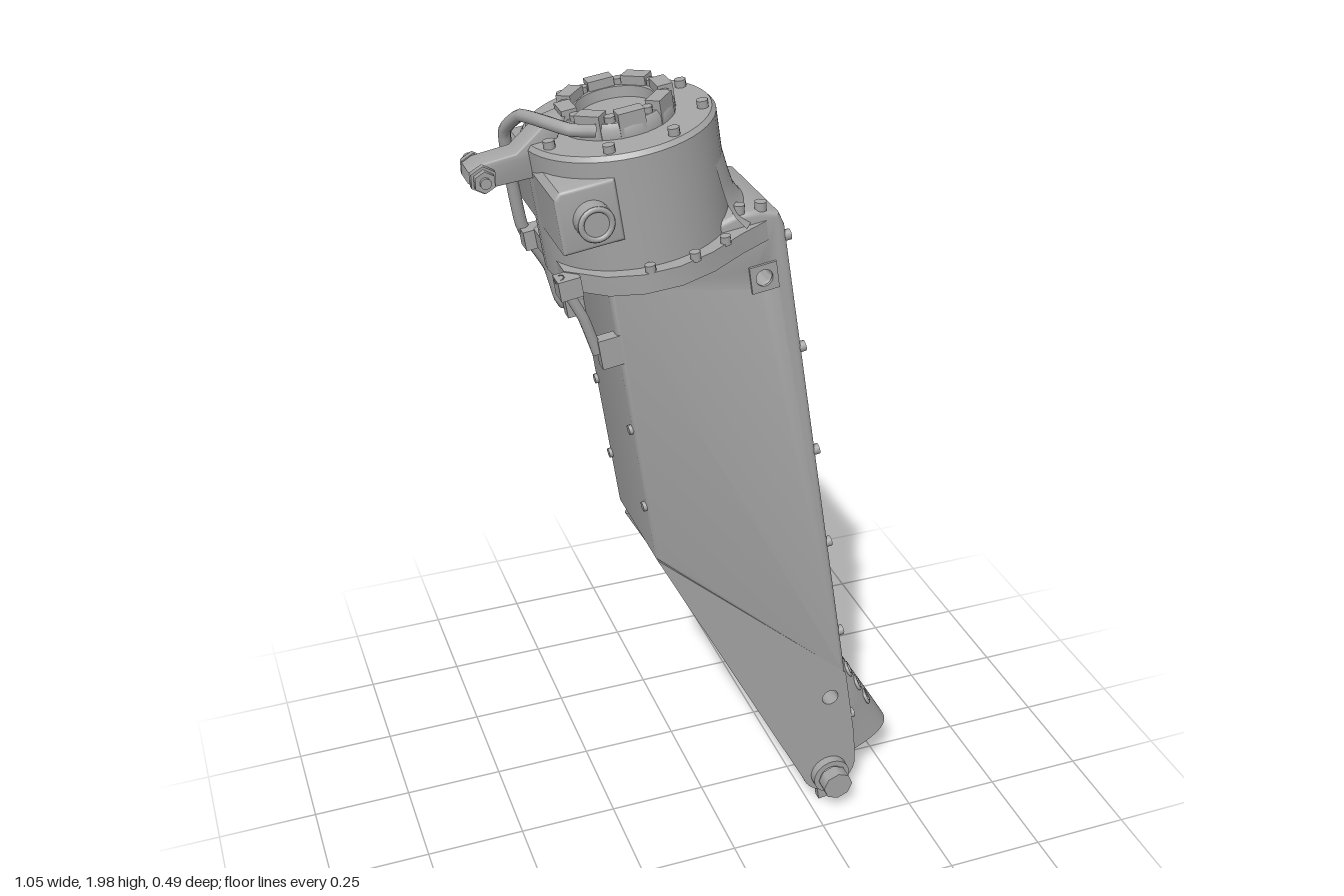
import * as THREE from 'three';
import { toCreasedNormals } from 'three/addons/utils/BufferGeometryUtils.js';
import { ParametricGeometry } from 'three/addons/geometries/ParametricGeometry.js';

const metal = new THREE.MeshStandardMaterial({ color: 0xa6a6a6, side: THREE.DoubleSide });
metal.name = 'greyMetal';

const V = (x, y, z) => new THREE.Vector3(x, y, z);

function add(parent, name, geometry, x = 0, y = 0, z = 0) {
  const mesh = new THREE.Mesh(geometry, metal);
  mesh.name = name;
  mesh.position.set(x, y, z);
  parent.add(mesh);
  return mesh;
}

// Cylinder pointing along a given direction
function rod(parent, name, r, length, pos, dir = V(0, 1, 0), sides = 24) {
  const mesh = add(parent, name, new THREE.CylinderGeometry(r, r, length, sides), pos.x, pos.y, pos.z);
  mesh.quaternion.setFromUnitVectors(V(0, 1, 0), dir.clone().normalize());
  return mesh;
}

function outline(points, holes = []) {
  const shape = new THREE.Shape(points.map(p => new THREE.Vector2(...p)));
  for (const [x, y, r] of holes) {
    shape.holes.push(new THREE.Path().absarc(x, y, r, 0, Math.PI * 2, true));
  }
  return shape;
}

function slab(shape, z0, z1, bevel = 0) {
  const g = new THREE.ExtrudeGeometry(shape, {
    depth: z1 - z0 - 2 * bevel, curveSegments: 12, bevelEnabled: bevel > 0,
    bevelSize: bevel, bevelThickness: bevel, bevelOffset: -bevel, bevelSegments: 3,
  });
  g.translate(0, 0, z0 + bevel);
  return toCreasedNormals(g, 0.6);
}

function pipe(parent, name, points, r) {
  const path = new THREE.CatmullRomCurve3(points.map(p => V(...p)), false, 'catmullrom', 0.25);
  return add(parent, name, new THREE.TubeGeometry(path, 70, r, 10));
}

function lathe(points, start = 0, sweep = Math.PI * 2) {
  return toCreasedNormals(new THREE.LatheGeometry(points.map(p => new THREE.Vector2(...p)), 48, start, sweep), 0.6);
}

export function createModel() {
  const model = new THREE.Group();
  const Z = V(0, 0, 1);
  const bend = [-0.165, 0.875];
  const pinX = 0.305, pinY = 0.09;
  const frontX = y => 0.385 - (y - 0.13) * 0.158;
  const upperHole = [0.09, 1.565, 0.02], lowerHole = [0.3, 0.34, 0.022];

  // Main box of the leg
  add(model, 'legBody', slab(outline([
    bend, [0.34, 0.4], [frontX(0.44), 0.44], [0.139, 1.68], [0.125, 1.71], [0.08, 1.722],
    [0.03, 1.72], [-0.2, 1.64], [-0.265, 1.595],
  ], [upperHole]), -0.15, 0.15, 0.012));

  // Lower core, its back side cut away at a slant
  const core = new THREE.ExtrudeGeometry(outline([bend, [0.225, 0.16], [0.375, 0.16], [0.34, 0.4]], [lowerHole]),
    { depth: 0.28, bevelEnabled: false });
  core.translate(0, 0, -0.14);
  const p = core.attributes.position;
  for (let i = 0; i < p.count; i++) {
    if (p.getZ(i) > 0) continue;
    const below = 0.875 - 0.94 * (p.getX(i) + 0.165) - p.getY(i);
    p.setZ(i, -0.14 + 0.4 * Math.max(0, below));
  }
  core.computeVertexNormals();
  add(model, 'lowerCore', core);

  // Side plates ending in round lugs
  const lug = [];
  for (let i = 0; i <= 12; i++) {
    const a = Math.PI * (1.1 + i * 0.95 / 12);
    lug.push([pinX + 0.076 * Math.cos(a), 0.11 + 0.08 * Math.sin(a)]);
  }
  const fork = [...lug, [frontX(0.2), 0.2], [frontX(0.41), 0.41]];
  add(model, 'sidePlate', slab(outline([bend, ...fork], [lowerHole]), 0.128, 0.15));
  add(model, 'sideStrap', slab(outline([[0.08, 0.62], ...fork], [lowerHole]), -0.15, -0.128));
  pipe(model, 'innerStrut', [[-0.15, 0.85, -0.12], [0.05, 0.48, -0.1], [0.235, 0.13, -0.12]], 0.01);

  // Pivot pin with collars and end caps
  rod(model, 'pivotPin', 0.034, 0.36, V(pinX, pinY, 0), Z);
  for (const s of [1, -1]) {
    rod(model, 'pinCollar', 0.05, 0.025, V(pinX, pinY, s * 0.16), Z);
    rod(model, 'pinCap', 0.04, 0.035, V(pinX, pinY, s * 0.197), Z, 8);
    add(model, 'lugTab', new THREE.BoxGeometry(0.055, 0.035, 0.022), pinX, 0.0215, s * 0.139).rotation.z = 0.139;
  }

  // Curved scoop at the foot
  const scoopPoint = (t, v) => {
    const y = 0.43 - 0.3 * t;
    const bulge = 0.002 + (0.182 - 0.047) * Math.pow(t, 0.9);
    const w = 0.117 * Math.sqrt(Math.max(0.002, 1 - Math.pow(1 - Math.min(1, t * 1.7), 2)));
    const drop = 0.02 * t * Math.abs(v) ** 3;
    return V(frontX(y) + bulge * (1 - Math.abs(v) ** 3.2), y - drop, w * v);
  };
  add(model, 'scoop', new ParametricGeometry((u, t, out) => out.copy(scoopPoint(t, u * 2 - 1)), 32, 20));
  for (const s of [1, -1]) {
    for (const t of [0.3, 0.46, 0.63]) {
      const rim = add(model, 'scoopHoleRim', new THREE.TorusGeometry(0.017, 0.005, 6, 16));
      rim.position.copy(scoopPoint(t, s * 0.53));
      rim.rotation.set(0, Math.PI / 2, 0);
      rim.lookAt(rim.position.clone().add(V(0.9, 0.45, s * 0.25)));
    }
  }

  // Small bolts along the leg edges
  for (const s of [1, -1]) {
    for (const y of [1.65, 1.37, 1.09, 0.82, 0.54, 0.26]) {
      rod(model, 'frontBolt', 0.013, 0.016, V(frontX(y) + 0.003, y, s * 0.135), V(1, 0.15, 0), 8);
    }
    for (const y of [1.45, 1.23, 1.02]) {
      rod(model, 'backBolt', 0.012, 0.016, V(-0.165 - (y - 0.875) * 0.139, y, s * 0.13), V(1, 0.14, 0), 8);
    }
    for (const x of [0.035, 0.085]) rod(model, 'shoulderBolt', 0.014, 0.02, V(x, 1.727, s * 0.135), V(0, 1, 0), 8);
  }
  for (const y of [1.47, 1.41, 1.35]) rod(model, 'sideBolt', 0.01, 0.014, V(0.12, y - 0.03, -0.153), Z, 8);

  // Square fitting around the upper hole
  const fitting = outline([[-0.032, -0.032], [0.032, -0.032], [0.032, 0.032], [-0.032, 0.032]], [[0, 0, 0.02]]);
  for (const s of [1, -1]) {
    add(model, 'holeFitting', slab(fitting, -0.004, 0.004), 0.09, 1.565, s * 0.152).rotation.z = 0.139;
  }

  // Tilted housing on top
  const head = new THREE.Group();
  head.name = 'head';
  head.position.set(-0.19, 1.915, 0);
  head.rotation.z = 0.139;
  model.add(head);
  add(head, 'housing', lathe([[0, -0.31], [0.2, -0.31], [0.21, -0.3], [0.21, -0.01], [0.202, 0], [0.12, 0], [0, 0]]));
  add(head, 'housingFillet', lathe([[0.262, -0.25], [0.24, -0.225], [0.225, -0.195], [0.218, -0.16], [0.209, -0.1]],
    Math.PI * 0.27, Math.PI * 0.46));

  // Flange between the housing and the leg
  const half = [[-0.2, 0.12], [-0.13, 0.2], [-0.06, 0.235], [0.02, 0.243], [0.1, 0.222], [0.18, 0.18], [0.25, 0.152]];
  const flange = slab(outline([...half, ...half.map(([x, z]) => [x, -z]).reverse()]), 0, 0.045);
  flange.rotateX(Math.PI / 2);
  add(head, 'flange', flange, 0, -0.255, 0);
  for (const s of [1, -1]) {
    for (const [x, z] of [[-0.04, 0.226], [0.06, 0.226], [0.14, 0.194]]) {
      rod(head, 'flangeBolt', 0.012, 0.02, V(x, -0.25, s * z), V(0, 1, 0), 8);
    }
  }

  // Hub ring with raised teeth and a sunken centre
  add(head, 'hubRing', lathe([[0.125, 0], [0.125, 0.02], [0.118, 0.032], [0.086, 0.032], [0.084, 0.008], [0, 0.008]]));
  for (let i = 0; i < 8; i++) {
    const a = i * Math.PI / 4, b = a + Math.PI / 8;
    const tooth = new THREE.Group();
    tooth.name = 'hubTooth';
    tooth.rotation.y = a;
    head.add(tooth);
    add(tooth, 'toothBlock', new THREE.BoxGeometry(0.034, 0.052, 0.058), 0.106, 0.026, 0);
    rod(head, 'hubBolt', 0.012, 0.02, V(0.106 * Math.cos(b), 0.035, 0.106 * Math.sin(b)), V(0, 1, 0), 8);
    rod(head, 'rimBolt', 0.013, 0.022, V(0.183 * Math.cos(b), 0.005, 0.183 * Math.sin(b)), V(0, 1, 0), 8);
  }

  // Cross block with a port on each end
  add(head, 'crossBlock', slab(outline([
    [-0.208, -0.185], [-0.075, -0.185], [-0.075, -0.045], [-0.195, -0.045], [-0.208, -0.06],
  ]), -0.2, 0.2, 0.008));
  for (const s of [1, -1]) {
    rod(head, 'port', 0.04, 0.04, V(-0.138, -0.117, s * 0.215), Z);
    add(head, 'portRim', new THREE.TorusGeometry(0.033, 0.007, 8, 24), -0.138, -0.117, s * 0.233);
  }

  // Rear bracket with a cross bolt
  const prong = outline([
    [-0.5, 1.802], [-0.38, 1.815], [-0.34, 1.87], [-0.31, 1.94], [-0.36, 1.925], [-0.42, 1.872], [-0.5, 1.858],
    [-0.522, 1.845], [-0.524, 1.82],
  ]);
  add(model, 'rearBracket', slab(prong, -0.032, 0.032, 0.004));
  rod(model, 'bracketBolt', 0.012, 0.16, V(-0.495, 1.83, -0.01), Z, 10);
  for (const z of [-0.055, -0.042, 0.04, 0.055]) {
    rod(model, 'bracketNut', Math.abs(z) > 0.05 ? 0.024 : 0.03, 0.014, V(-0.495, 1.83, z), Z, 6);
  }

  // Pipe from the hub, over the rear edge and along the side
  pipe(model, 'longPipe', [
    [-0.27, 1.93, 0.108], [-0.32, 1.935, 0.1], [-0.36, 1.935, 0.03], [-0.385, 1.92, -0.06], [-0.405, 1.87, -0.12],
    [-0.395, 1.78, -0.14], [-0.37, 1.63, -0.155], [-0.31, 1.52, -0.165], [-0.285, 1.43, -0.17], [-0.25, 1.415, -0.173],
    [0.03, 1.55, -0.173], [0.07, 1.565, -0.168], [0.08, 1.567, -0.145],
  ], 0.014);
  for (const s of [1, -1]) {
    add(model, 'cornerClip', new THREE.BoxGeometry(0.05, 0.07, 0.03), -0.262, 1.44, s * 0.135).rotation.z = 0.139;
    add(model, 'upperClip', new THREE.BoxGeometry(0.05, 0.045, 0.045), -0.35, 1.61, s * 0.14).rotation.z = 0.139;
  }
  pipe(model, 'shortPipe', [[-0.37, 1.63, 0.14], [-0.32, 1.53, 0.14], [-0.29, 1.44, 0.135]], 0.012);

  return model;
}
